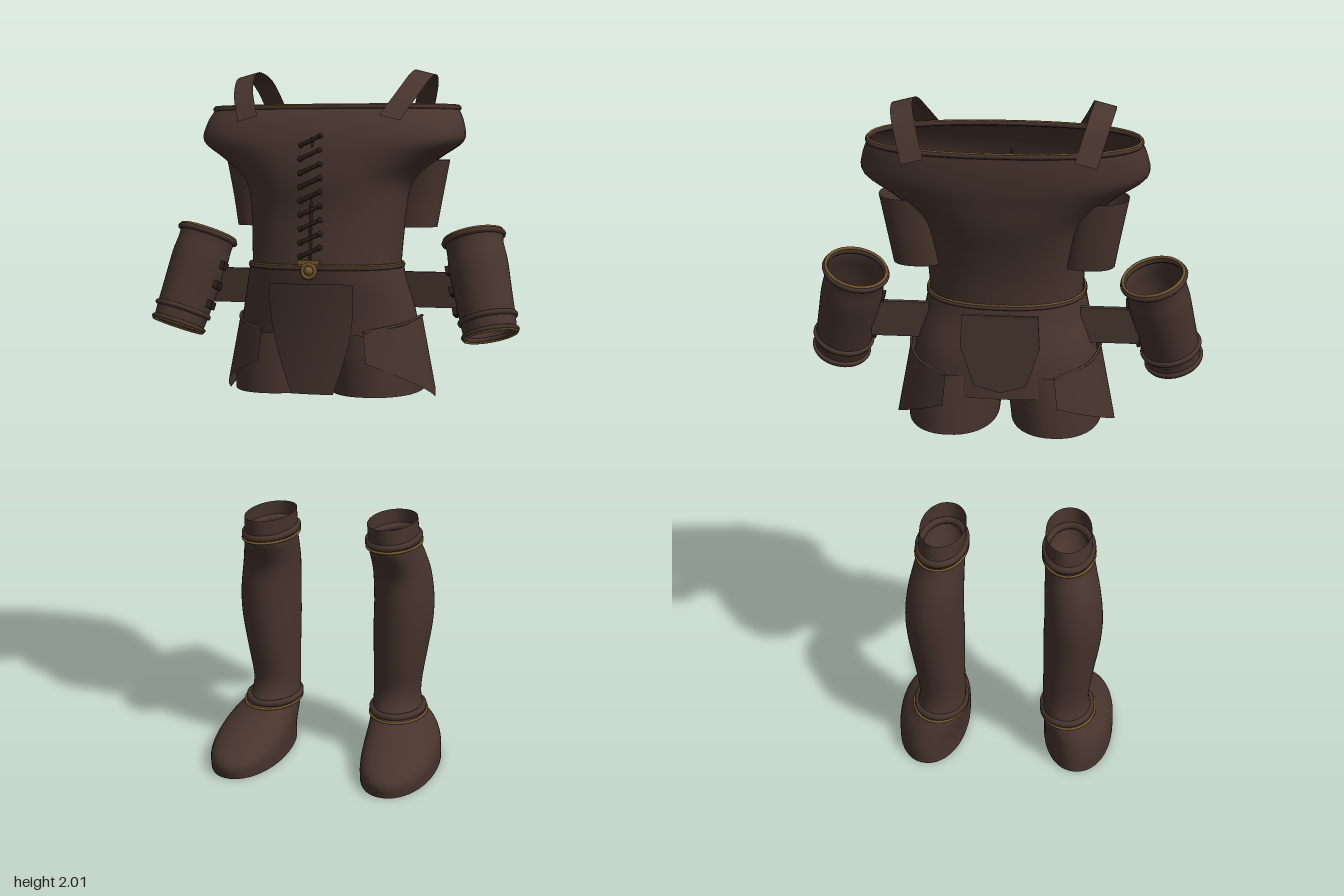
import * as THREE from 'three';

const mat = (name, color) => {
  const m = new THREE.MeshStandardMaterial({ color, side: THREE.DoubleSide });
  m.name = name;
  return m;
};
const V = (x, y, z) => new THREE.Vector3(x, y, z);

// Smooth surface from a rule f(u, v); closed wraps u
function grid(f, nu, nv, closed = false) {
  const pos = [], idx = [], cols = closed ? nu : nu + 1;
  for (let j = 0; j <= nv; j++)
    for (let i = 0; i < cols; i++) pos.push(...f(i / nu, j / nv));
  for (let j = 0; j < nv; j++)
    for (let i = 0; i < nu; i++) {
      const k = (i + 1) % cols, a = j * cols + i, b = j * cols + k, c = a + cols, d = b + cols;
      idx.push(a, c, b, b, c, d);
    }
  const g = new THREE.BufferGeometry();
  g.setAttribute('position', new THREE.Float32BufferAttribute(pos, 3));
  g.setIndex(idx);
  g.computeVertexNormals();
  return g;
}

// Point on a rounded section [y, centreX, radiusX, zFront, zBack]
function onSection([y, cx, rx, zf, zb], u, n, out = 0) {
  const a = u * Math.PI * 2, c = Math.cos(a), s = Math.sin(a);
  const p = (t) => Math.sign(t) * Math.abs(t) ** (2 / n);
  return [cx + (rx + out) * p(c), y, (zf + zb) / 2 + ((zf - zb) / 2 + out) * p(s)];
}

// Smooth loft through sections listed from bottom to top
function loft(sections, n = 2, steps = 4) {
  const curve = (f) => new THREE.CatmullRomCurve3(sections.map(f), false, 'catmullrom');
  const A = curve((s) => V(s[0], s[1], s[2])), B = curve((s) => V(s[0], s[3], s[4]));
  return grid((u, v) => {
    const a = A.getPoint(v), b = B.getPoint(v);
    return onSection([a.x, a.y, a.z, b.y, b.z], u, n);
  }, 48, (sections.length - 1) * steps, true);
}

// Welt running round a section
function welt(section, r, n = 2, out = 0) {
  const pts = [];
  for (let i = 0; i < 32; i++) pts.push(V(...onSection(section, i / 32, n, out)));
  return new THREE.TubeGeometry(new THREE.CatmullRomCurve3(pts, true), 64, r, 6, true);
}

const rod = (a, b, r) => new THREE.TubeGeometry(new THREE.LineCurve3(a, b), 1, r, 6);

export function createModel() {
  const root = new THREE.Group();
  const leather = mat('brown leather', 0x47342d);
  const dark = mat('dark cord', 0x2b1f1a);
  const bronze = mat('bronze trim', 0x75592f);

  const add = (name, geo, m = leather) => {
    const mesh = new THREE.Mesh(geo, m);
    mesh.name = name;
    root.add(mesh);
  };
  // Left part plus its mirror image on the right
  const pair = (name, geo, m = leather) => {
    add('left ' + name, geo, m);
    const g = geo.clone().scale(-1, 1, 1), ix = g.index.array;
    for (let i = 0; i < ix.length; i += 3) [ix[i], ix[i + 1]] = [ix[i + 1], ix[i]];
    const nrm = g.attributes.normal, src = geo.attributes.normal;
    for (let i = 0; i < nrm.count; i++) nrm.setXYZ(i, -src.getX(i), src.getY(i), src.getZ(i));
    add('right ' + name, g, m);
  };

  // Bodice with off-shoulder sleeves
  const bodice = [
    [1.46, 0, 0.208, 0.178, -0.155], [1.54, 0, 0.212, 0.168, -0.165],
    [1.62, 0, 0.218, 0.163, -0.185], [1.70, 0, 0.235, 0.168, -0.212],
    [1.76, 0, 0.3, 0.162, -0.225], [1.81, 0, 0.37, 0.15, -0.235],
    [1.86, 0, 0.368, 0.125, -0.24], [1.9, 0, 0.35, 0.09, -0.24],
  ];
  add('bodice', loft(bodice, 2.35), leather);
  add('neckline welt', welt(bodice[7], 0.007, 2.35));
  add('neckline stitching', welt([1.906, 0, 0.35, 0.09, -0.24], 0.003, 2.35), bronze);
  pair('sleeve flap', loft([
    [1.575, 0.225, 0.068, -0.03, -0.14], [1.66, 0.235, 0.072, -0.03, -0.15], [1.76, 0.245, 0.08, -0.02, -0.16],
  ], 2.3));

  // Shoulder straps
  const strap = new THREE.CatmullRomCurve3([
    V(0.2, 1.87, 0.105), V(0.235, 1.94, 0.035), V(0.253, 1.988, -0.04), V(0.256, 1.998, -0.1),
    V(0.245, 1.975, -0.175), V(0.215, 1.88, -0.235),
  ]);
  pair('shoulder strap', grid((u, v) => {
    const p = strap.getPoint(v), w = (u - 0.5) * 0.056;
    return [p.x + w, p.y - w * 0.25, p.z];
  }, 2, 24));

  // Front lacing
  for (let i = 0; i < 9; i++) {
    const y = 1.515 + i * 0.037, z = (i > 7 ? 0.163 : 0.172) + 0.004;
    add('lace', rod(V(-0.027, y - 0.012, z), V(0.027, y + 0.012, z), 0.006), dark);
    for (const s of [-1, 1]) {
      const knot = new THREE.SphereGeometry(0.008, 8, 6).translate(s * 0.027, y + s * 0.012, z);
      add('lace knot', knot, dark);
    }
  }
  add('lacing seam', rod(V(0, 1.48, 0.176), V(0, 1.82, 0.15), 0.004), dark);

  // Shorts: hips and open legs
  const hips = [
    [1.23, 0, 0.263, 0.153, -0.207], [1.34, 0, 0.246, 0.162, -0.195],
    [1.42, 0, 0.226, 0.178, -0.17], [1.475, 0, 0.214, 0.184, -0.16],
  ];
  add('hips', loft(hips, 2.35));
  pair('short leg', loft([
    [1.12, 0.143, 0.126, 0.152, -0.21], [1.2, 0.138, 0.129, 0.152, -0.206], [1.29, 0.127, 0.124, 0.15, -0.195],
  ], 2.2));
  add('waist welt', welt([1.472, 0, 0.214, 0.184, -0.16], 0.006, 2.35));
  add('waist stitching', welt([1.479, 0, 0.214, 0.184, -0.16], 0.003, 2.35), bronze);

  // Tapered front panel and back flap
  const frontWidth = (v) => 0.06 + 0.058 * Math.sin(Math.min(1, v * 1.2) * Math.PI / 2);
  add('front panel', grid((u, v) => {
    const x = (0.5 - u) * 2 * frontWidth(v), y = 1.125 + 0.305 * v;
    return [x, y, 0.166 + 0.022 * v * v - x * x];
  }, 10, 12));
  const flap = new THREE.Shape([
    [-0.07, 1.27], [0, 1.25], [0.07, 1.27], [0.105, 1.38], [0.1, 1.47], [-0.1, 1.47], [-0.105, 1.38],
  ].map((p) => new THREE.Vector2(...p)));
  add('back flap', new THREE.ExtrudeGeometry(flap, { depth: 0.008, bevelEnabled: false }).translate(0, 0, -0.21));

  // Belt buckle
  add('buckle ring', new THREE.TorusGeometry(0.018, 0.006, 6, 20).translate(0, 1.465, 0.19), bronze);
  add('buckle stud', new THREE.SphereGeometry(0.013, 12, 8).translate(0, 1.465, 0.191), bronze);
  add('buckle bar', new THREE.BoxGeometry(0.06, 0.012, 0.01).translate(0, 1.488, 0.187), bronze);

  // Pointed hip guards, flaring towards the bottom
  const guard = (u, v) => {
    const t = (u - 0.5) * 2, a = t * 1.0, m = 1 - Math.abs(t);
    const top = 1.3 + 0.03 * m, low = 1.215 - 0.112 * m, y = low + (top - low) * v;
    const flare = (1.32 - y) * 0.2;
    return [(0.263 + flare) * Math.cos(a), y, -0.03 + (0.222 + flare * 0.5) * Math.sin(a)];
  };
  pair('hip guard', grid(guard, 32, 6));
  const edge = [0, 0.25, 0.5, 0.75, 1].map((u) => V(...guard(u, 1)));
  pair('hip guard welt', new THREE.TubeGeometry(new THREE.CatmullRomCurve3(edge), 32, 0.004, 6));

  // Side straps reaching towards the bracers
  pair('side strap', new THREE.BoxGeometry(0.16, 0.1, 0.015).translate(0.285, 1.4, -0.07));

  // Bracers
  const elbow = V(0.395, 1.548, -0.095), wrist = V(0.463, 1.285, -0.015);
  const axis = elbow.clone().sub(wrist), len = axis.length();
  const turn = new THREE.Quaternion().setFromUnitVectors(V(0, 1, 0), axis.normalize());
  const place = (g) => g.applyQuaternion(turn).translate(wrist.x, wrist.y, wrist.z);
  const ring = (r, tube, y) => place(new THREE.TorusGeometry(r, tube, 8, 40).rotateX(Math.PI / 2).translate(0, y, 0));
  const outline = [[0.074, 0], [0.077, 0.04], [0.08, 0.12], [0.083, 0.2], [0.08, 0.25], [0.083, len]];
  pair('bracer', place(new THREE.LatheGeometry(
    new THREE.SplineCurve(outline.map((p) => new THREE.Vector2(...p))).getPoints(20), 40)));
  pair('bracer elbow rim', ring(0.083, 0.008, len - 0.006));
  pair('bracer wrist rim', ring(0.075, 0.007, 0.003));
  pair('bracer wrist band', ring(0.077, 0.008, 0.045));
  pair('bracer elbow piping', ring(0.082, 0.004, len + 0.003), bronze);
  pair('bracer wrist piping', ring(0.075, 0.0035, -0.004), bronze);
  for (let i = 0; i < 3; i++)
    pair('bracer buckle', place(new THREE.BoxGeometry(0.014, 0.022, 0.04).translate(-0.082, 0.08 + i * 0.06, 0.01)), dark);

  // Tall boots
  const boot = [
    [0, 0.228, 0.108, 0.243, -0.227], [0.04, 0.228, 0.108, 0.246, -0.226],
    [0.07, 0.224, 0.105, 0.195, -0.22], [0.1, 0.215, 0.096, 0.115, -0.212],
    [0.13, 0.201, 0.082, 0.045, -0.2], [0.16, 0.192, 0.072, 0.005, -0.188],
    [0.21, 0.19, 0.07, -0.013, -0.18], [0.3, 0.197, 0.077, 0.002, -0.192],
    [0.4, 0.205, 0.086, 0.014, -0.206], [0.48, 0.208, 0.087, 0.02, -0.215],
    [0.56, 0.203, 0.083, 0.025, -0.21], [0.61, 0.197, 0.077, 0.05, -0.197],
    [0.66, 0.19, 0.071, 0.085, -0.178], [0.735, 0.186, 0.068, 0.1, -0.165],
  ];
  pair('boot', loft(boot, 2.1, 3));
  pair('boot sole', grid((u, v) => {
    const p = onSection(boot[0], u, 2.1);
    return [0.228 + (p[0] - 0.228) * v, 0, 0.008 + (p[2] - 0.008) * v];
  }, 48, 1, true));
  pair('boot cuff', welt([0.68, 0.188, 0.069, 0.088, -0.173], 0.012));
  pair('boot cuff stitching', welt([0.666, 0.189, 0.071, 0.086, -0.177], 0.004, 2, 0.006), bronze);
  pair('ankle band', welt([0.148, 0.194, 0.074, 0.018, -0.19], 0.011));
  pair('ankle stitching', welt([0.137, 0.197, 0.078, 0.03, -0.194], 0.004, 2, 0.005), bronze);

  return root;
}
